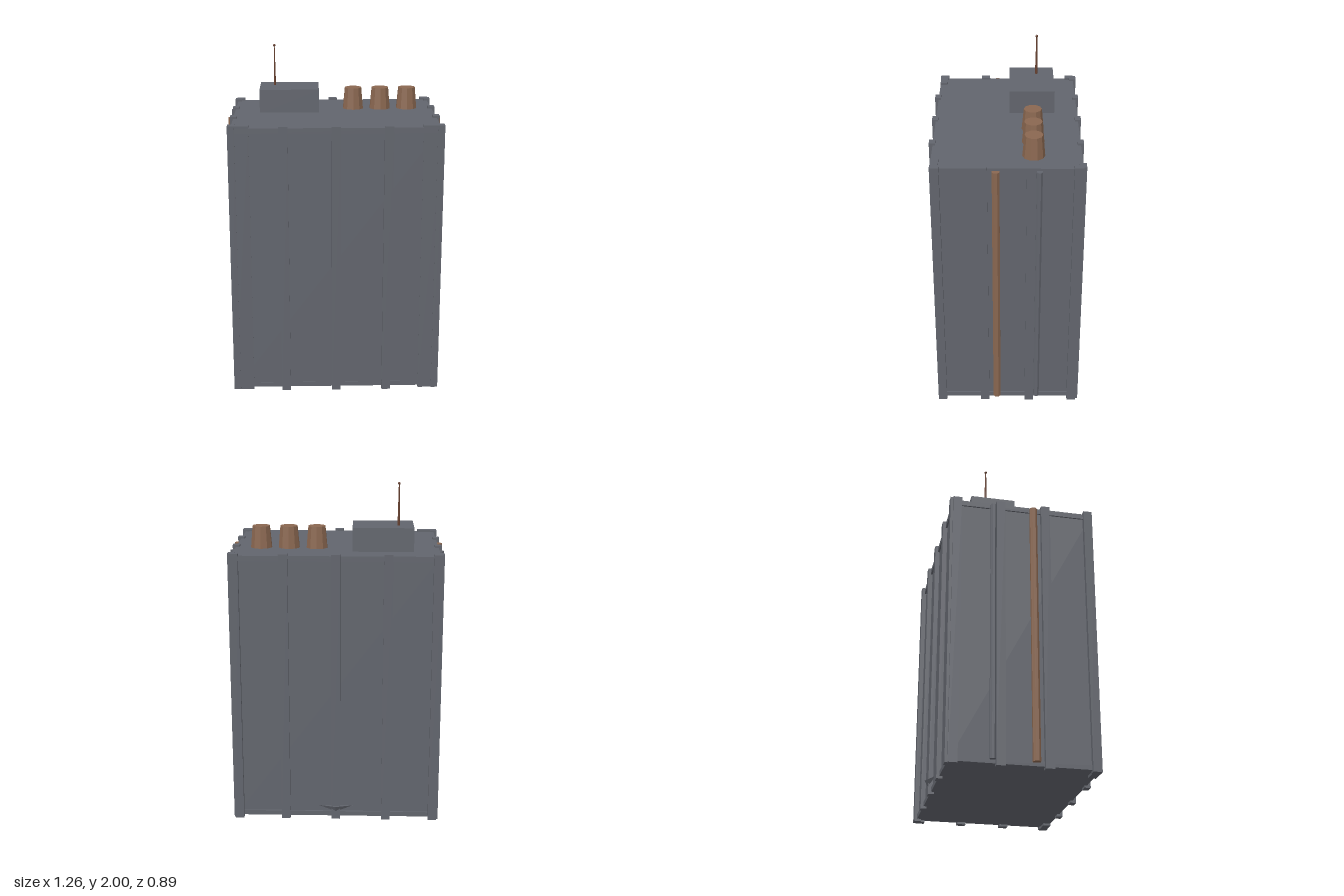
import * as THREE from 'three';

export function createModel() {
  const model = new THREE.Group();
  const mat = (name, color) => {
    const m = new THREE.MeshStandardMaterial({ color, flatShading: true });
    m.name = name;
    return m;
  };
  const slate = mat('slate grey', 0x62656d);
  const clay = mat('clay brown', 0x8a6750);
  const rust = mat('dark rust', 0x66402f);

  const add = (name, geometry, material, x = 0, y = 0, z = 0) => {
    const mesh = new THREE.Mesh(geometry, material);
    mesh.name = name;
    mesh.position.set(x, y, z);
    model.add(mesh);
    return mesh;
  };
  // Box given by its limits on each axis
  const block = (name, [x0, x1], [y0, y1], [z0, z1], material = slate) =>
    add(name, new THREE.BoxGeometry(x1 - x0, y1 - y0, z1 - z0), material,
      (x0 + x1) / 2, (y0 + y1) / 2, (z0 + z1) / 2);

  // Main tower with slightly projecting roof and base slabs
  block('walls', [-0.588, 0.588], [0.03, 1.6], [-0.4, 0.422]);
  block('roofSlab', [-0.597, 0.597], [1.58, 1.612], [-0.41, 0.424]);
  block('baseSlab', [-0.597, 0.597], [0.014, 0.042], [-0.41, 0.424]);

  // Corner piers
  const full = [0, 1.624];
  for (const s of [-1, 1]) {
    const span = (a, b) => (s > 0 ? [a, b] : [-b, -a]);
    block('frontCornerPanel', span(0.495, 0.605), full, [0.38, 0.424]);
    block('frontCornerPier', span(0.575, 0.615), full, [0.375, 0.426]);
    block('backCornerPier', span(0.555, 0.605), full, [-0.427, -0.385]);
    block('backCornerSidePier', span(0.575, 0.615), full, [-0.412, -0.36]);

    // Side pilasters
    for (const z of [-0.128, 0.14]) {
      block('sidePilaster', span(0.575, 0.615), full, [z - 0.026, z + 0.026]);
    }

    // Drain pipes running down each side
    add('clayPipe', new THREE.CylinderGeometry(0.023, 0.023, 1.565, 8), clay, s * 0.608, 0.817, 0.067)
      .rotation.y = Math.PI / 8;
    add('greyPipe', new THREE.CylinderGeometry(0.018, 0.018, 1.565, 8), slate, s * 0.608, 0.817, -0.172)
      .rotation.y = Math.PI / 8;
  }

  // Front and back pilasters
  for (const x of [-0.3, 0, 0.3]) {
    block('frontPilaster', [x - 0.026, x + 0.026], full, [0.41, 0.445]);
    block('backPilaster', [x - 0.026, x + 0.026], full, [-0.427, -0.392]);
  }

  // Chimney pots
  for (const x of [0.118, 0.282, 0.445]) {
    add('chimneyPot', new THREE.CylinderGeometry(0.052, 0.064, 0.13, 10), clay, x, 1.675, -0.142);
  }

  // Roof housing with mast
  block('roofHousing', [-0.447, -0.092], [1.605, 1.75], [-0.275, -0.01]);
  add('mast', new THREE.CylinderGeometry(0.003, 0.008, 0.245, 6), rust, -0.359, 1.8705, -0.172);
  add('mastTip', new THREE.SphereGeometry(0.008, 8, 6), rust, -0.359, 1.992, -0.172);

  // Small pointed spout low on the back wall
  const l = [0.105, 0.08, -0.405], r = [-0.105, 0.08, -0.405];
  const tip = [0, 0.085, -0.445], low = [0, 0.05, -0.427];
  const spout = new THREE.BufferGeometry();
  spout.setAttribute('position', new THREE.Float32BufferAttribute(
    [l, tip, r, l, low, tip, tip, low, r, l, r, low].flat(2), 3));
  spout.computeVertexNormals();
  add('backSpout', spout, slate);

  return model;
}
